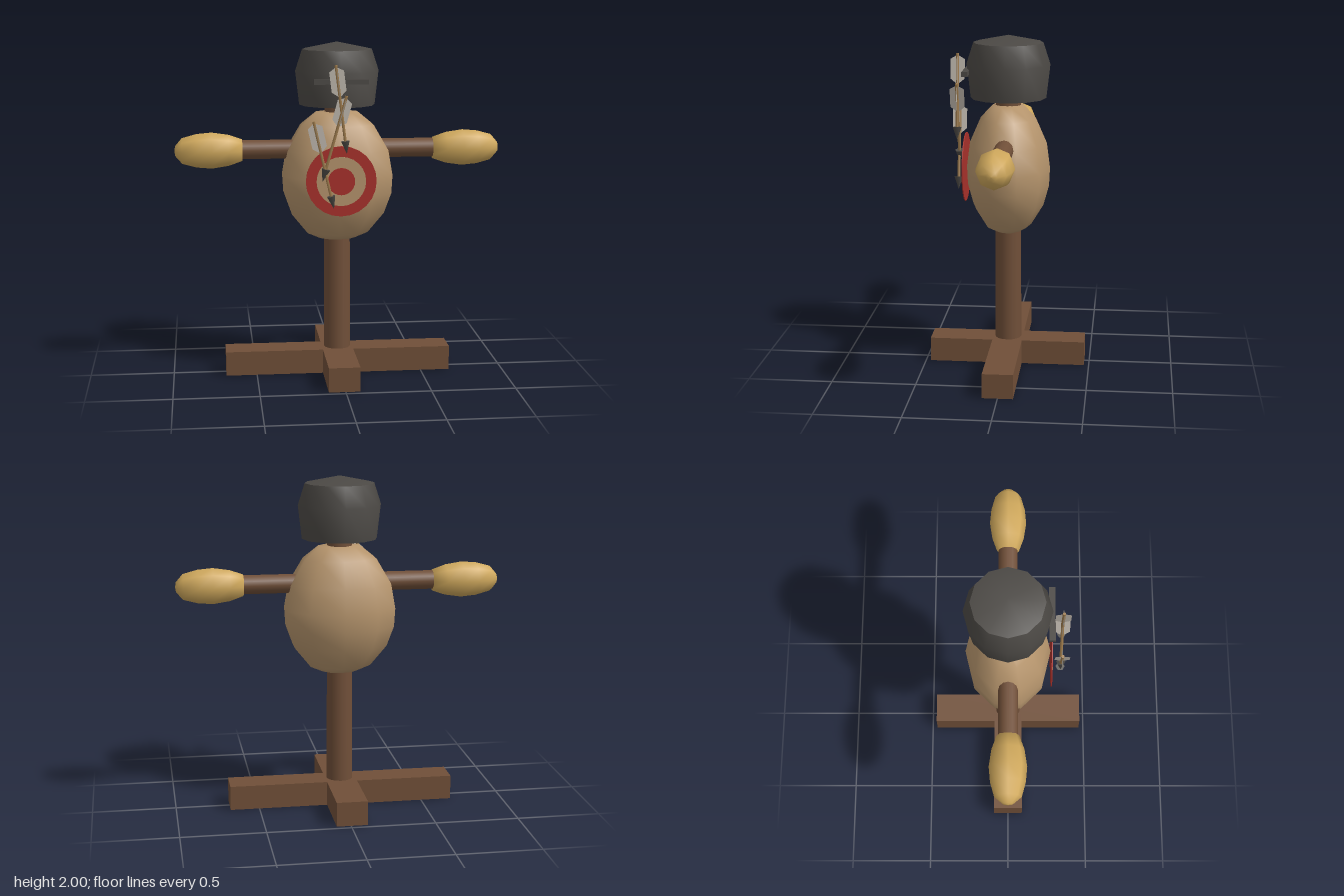
import * as THREE from 'three';
import { toCreasedNormals } from 'three/addons/utils/BufferGeometryUtils.js';

const material = (name, color, side = THREE.FrontSide) => {
  const m = new THREE.MeshStandardMaterial({ color, side });
  m.name = name;
  return m;
};

export function createModel() {
  const wood = material('brown wood', 0x704f38);
  const burlap = material('burlap', 0xb5946c);
  const straw = material('straw yellow', 0xcfa85c);
  const iron = material('dark iron', 0x4c4945);
  const red = material('target red', 0xa8302a);
  const shaftWood = material('arrow shaft wood', 0x9c7a4c);
  const feather = material('feather grey', 0xbdb6ac, THREE.DoubleSide);

  const model = new THREE.Group();
  model.name = 'trainingDummy';
  const add = (name, geometry, mat, x = 0, y = 0, z = 0, parent = model) => {
    const mesh = new THREE.Mesh(geometry, mat);
    mesh.name = name;
    mesh.position.set(x, y, z);
    parent.add(mesh);
    return mesh;
  };
  const lathe = (points, sides) =>
    new THREE.LatheGeometry(points.map(([r, y]) => new THREE.Vector2(r, y)), sides);
  const cx = -0.005;

  // Crossed foot beams and the post
  add('baseBeamWide', new THREE.BoxGeometry(1.36, 0.146, 0.18), wood, cx, 0.073, 0);
  add('baseBeamDeep', new THREE.BoxGeometry(0.185, 0.146, 0.94), wood, cx - 0.002, 0.073, 0);
  add('post', new THREE.CylinderGeometry(0.075, 0.08, 1.6, 16), wood, cx, 0.9, 0);

  // Stuffed body, flattened front to back
  const body = add('body', lathe([
    [0, 0.82], [0.11, 0.825], [0.19, 0.86], [0.29, 0.98], [0.335, 1.1], [0.342, 1.21],
    [0.315, 1.36], [0.225, 1.51], [0.13, 1.585], [0, 1.595],
  ], 10), burlap, cx);
  body.scale.z = 0.73;

  // Helmet with a flat underside and an eye slit
  add('helmet', toCreasedNormals(lathe([
    [0, 1.63], [0.225, 1.63], [0.248, 1.83], [0.207, 1.957], [0, 2.0],
  ], 12), 0.75), iron, cx);
  add('eyeSlit', new THREE.BoxGeometry(0.315, 0.028, 0.035), iron, cx, 1.785, 0.243);

  // Arm pole and stuffed mitts
  const pole = add('armPole', new THREE.CylinderGeometry(0.057, 0.057, 1.24, 12), wood, 0, 1.365, 0);
  pole.rotation.z = Math.PI / 2;
  const mittShape = lathe([
    [0, 0.565], [0.065, 0.57], [0.093, 0.65], [0.108, 0.75], [0.1, 0.84],
    [0.077, 0.925], [0.03, 0.965], [0, 0.97],
  ], 8);
  for (const s of [1, -1]) {
    const mitt = add(s > 0 ? 'leftMitt' : 'rightMitt', mittShape, straw, 0, 1.362, 0);
    mitt.rotation.z = -s * Math.PI / 2;
  }

  // Target: stacked thin discs
  [['targetOuter', 0.207, red], ['targetMiddle', 0.145, burlap], ['targetCentre', 0.08, red]]
    .forEach(([name, r, mat], i) => {
      const disc = add(name, new THREE.CylinderGeometry(r, r, 0.006, 24), mat, cx, 1.207, 0.254 + i * 0.003);
      disc.rotation.x = Math.PI / 2;
    });

  // Arrows: local origin at the tip, +y towards the nock
  const vane = new THREE.ShapeGeometry(new THREE.Shape([
    [0, 0.325], [0.043, 0.36], [0.043, 0.475], [0, 0.5],
  ].map(([x, y]) => new THREE.Vector2(x, y))));
  const makeArrow = (name, tip, nock, z) => {
    const arrow = new THREE.Group();
    arrow.name = name;
    const dx = nock[0] - tip[0], dy = nock[1] - tip[1];
    arrow.position.set(tip[0], tip[1], z);
    arrow.rotation.z = Math.atan2(-dx, dy);
    arrow.scale.y = Math.hypot(dx, dy) / 0.51;
    add('shaft', new THREE.CylinderGeometry(0.009, 0.009, 0.45, 6), shaftWood, 0, 0.285, 0, arrow);
    const head = add('arrowHead', new THREE.ConeGeometry(0.027, 0.075, 6), iron, 0, 0.0375, 0, arrow);
    head.rotation.x = Math.PI;
    for (let i = 0; i < 4; i++) {
      add('feather', vane, feather, 0, 0, 0, arrow).rotation.y = i * Math.PI / 2;
    }
    model.add(arrow);
  };
  makeArrow('arrowTop', [0.022, 1.375], [-0.042, 1.885], 0.305);
  makeArrow('arrowMiddle', [-0.12, 1.215], [0.02, 1.71], 0.306);
  makeArrow('arrowLow', [-0.053, 1.055], [-0.17, 1.565], 0.308);

  return model;
}
